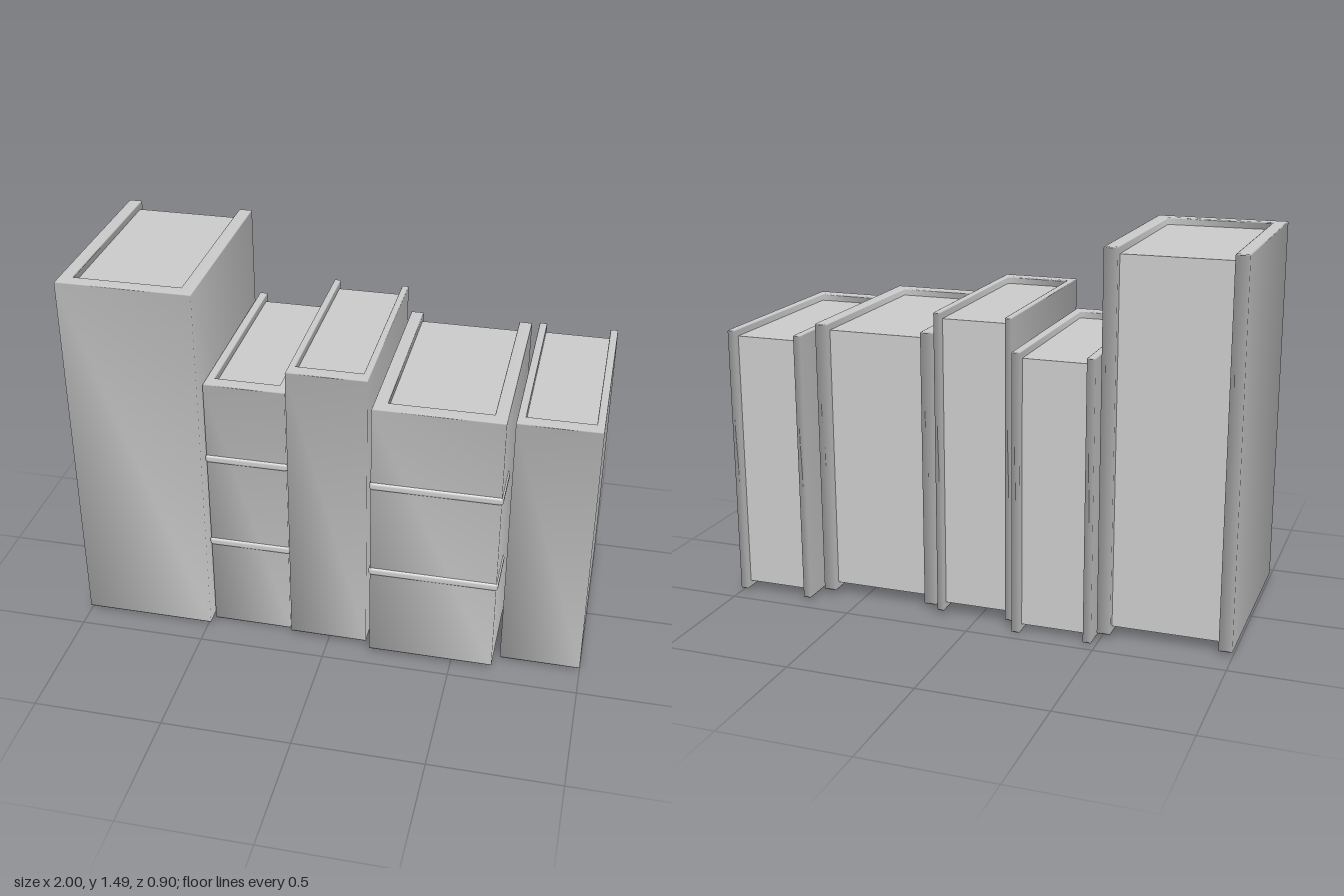
import * as THREE from 'three';
import { mergeVertices } from 'three/addons/utils/BufferGeometryUtils.js';
import { RoundedBoxGeometry } from 'three/addons/geometries/RoundedBoxGeometry.js';

const material = new THREE.MeshStandardMaterial({ color: 0xcccccc });
const BEVEL = 0.005;
const OVERHANG = 0.028; // covers stand this far past the pages

// x, y, z ranges of each cover, board and spine thickness, heights of spine ridges
const BOOKS = [
  { x: [-1, -0.485], y: [0.02, 1.49], z: [-0.39, 0.41], board: 0.052, spine: 0.055, ridges: [] },
  { x: [-0.48, -0.166], y: [0.003, 1.1], z: [-0.45, 0.355], board: 0.032, spine: 0.056, ridges: [0.39, 0.775] },
  { x: [-0.15, 0.155], y: [0.027, 1.213], z: [-0.405, 0.4], board: 0.026, spine: 0.055, ridges: [] },
  { x: [0.177, 0.663], y: [0.027, 1.124], z: [-0.363, 0.44], board: 0.05, spine: 0.058, ridges: [0.408, 0.796] },
  { x: [0.688, 1], y: [0.015, 1.09], z: [-0.44, 0.37], board: 0.03, spine: 0.055, ridges: [] },
];

// U-shaped cover, extruded upward, softly shaded across its small bevels
function coverGeometry({ x: [x0, x1], y: [y0, y1], z: [z0, z1], board, spine }) {
  const outline = [
    [x0, z0], [x0, z1], [x1, z1], [x1, z0],
    [x1 - board, z0], [x1 - board, z1 - spine], [x0 + board, z1 - spine], [x0 + board, z0],
  ];
  const shape = new THREE.Shape(outline.map(([x, z]) => new THREE.Vector2(x, -z)));
  const extruded = new THREE.ExtrudeGeometry(shape, {
    depth: y1 - y0 - 2 * BEVEL,
    bevelEnabled: true,
    bevelThickness: BEVEL,
    bevelSize: BEVEL,
    bevelOffset: -BEVEL,
    bevelSegments: 2,
  });
  extruded.rotateX(-Math.PI / 2);
  extruded.translate(0, y0 + BEVEL, 0);
  extruded.deleteAttribute('normal');
  extruded.deleteAttribute('uv');
  const geometry = mergeVertices(extruded, 1e-4);
  geometry.computeVertexNormals();
  return geometry;
}

function addMesh(parent, name, geometry, x = 0, y = 0, z = 0) {
  const mesh = new THREE.Mesh(geometry, material);
  mesh.name = name;
  mesh.position.set(x, y, z);
  parent.add(mesh);
}

function createBook(spec) {
  const { x: [x0, x1], y: [y0, y1], z: [z0, z1], board, spine, ridges } = spec;
  const book = new THREE.Group();
  const cx = (x0 + x1) / 2;
  addMesh(book, 'cover', coverGeometry(spec));

  // page block, sunk slightly into the boards and spine
  const back = z0 + 0.026;
  const front = z1 - spine + 0.01;
  const pages = new THREE.BoxGeometry(x1 - x0 - 2 * board + 0.01, y1 - y0 - 2 * OVERHANG, front - back);
  addMesh(book, 'pages', pages, cx, (y0 + y1) / 2, (front + back) / 2);

  // raised bands wrapping the spine
  for (const y of ridges) {
    const band = new RoundedBoxGeometry(x1 - x0 + 0.012, 0.034, 0.206, 3, 0.012);
    addMesh(book, 'spineRidge', band, cx, y, z1 - 0.097);
  }
  return book;
}

export function createModel() {
  const model = new THREE.Group();
  model.name = 'rowOfBooks';
  BOOKS.forEach((spec, i) => {
    const book = createBook(spec);
    book.name = `book${i + 1}`;
    model.add(book);
  });
  return model;
}
